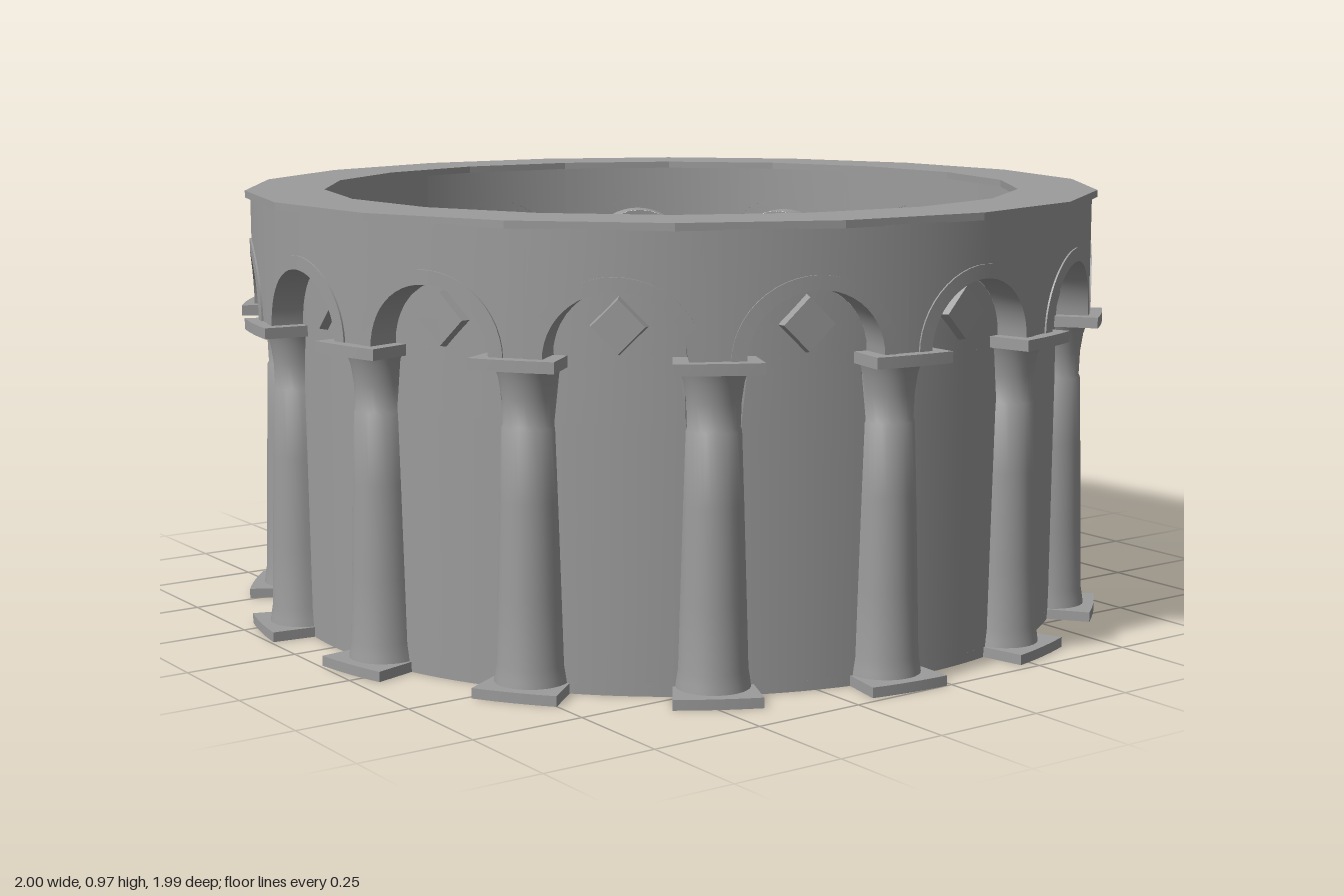
import * as THREE from 'three';
import { toCreasedNormals } from 'three/addons/utils/BufferGeometryUtils.js';

const BAYS = 15, STEP = (Math.PI * 2) / BAYS, R = 0.93;
const HALF = (STEP * R) / 2;           // half a bay, measured along the ring
const SPRING = 0.695, ARCH = 0.14, HOOD = 0.17;
const WINDOW_Y = 0.76, WINDOW = 0.06;
const WALL = 0.903, FRIEZE = 0.97, MOULDING = 0.974, TOP = 0.958;
const PLATE = 0.086;                   // half width of bases and capitals
const material = new THREE.MeshStandardMaterial({ color: 0x9c9c9c, side: THREE.DoubleSide });

// Lofts open profiles of [along, y, radius] points round the ring into a sheet.
function loft(sections, capped) {
  const pos = [];
  const put = ([u, y, r]) => pos.push(r * Math.sin(u / R), y, r * Math.cos(u / R));
  const quad = (a, b, c, d) => [a, b, c, a, c, d].forEach(put);
  for (let i = 0; i < sections.length - 1; i++) {
    const s = sections[i], t = sections[i + 1];
    for (let k = 0; k < s.length - 1; k++) quad(s[k], t[k], t[k + 1], s[k + 1]);
  }
  if (capped) {
    const s = sections[0], t = sections[sections.length - 1];
    quad(s[0], s[1], s[2], s[3]);
    quad(t[3], t[2], t[1], t[0]);
  }
  const g = new THREE.BufferGeometry();
  g.setAttribute('position', new THREE.Float32BufferAttribute(pos, 3));
  return toCreasedNormals(g, 0.6);
}

// Base or capital plate, hollow towards the middle of the ring
function plateGeometry(y0, y1) {
  const s = [];
  for (let i = 0; i <= 6; i++) {
    const u = PLATE * (i / 3 - 1);
    s.push([[u, y0, WALL], [u, y0, 1], [u, y1, 1], [u, y1, WALL]]);
  }
  return loft(s, true);
}

// Arch reveal, its flat moulding and the frieze above, as one sheet
function friezeGeometry() {
  const end = (u) => [
    [u, SPRING, WALL], [u, SPRING, FRIEZE], [u, SPRING, FRIEZE], [u, SPRING, FRIEZE], [u, TOP, FRIEZE],
  ];
  const s = [end(-HALF)];
  for (let i = 0; i <= 24; i++) {
    const a = (i / 24) * Math.PI, c = -Math.cos(a), h = Math.sin(a);
    const low = [ARCH * c, SPRING + ARCH * h], high = [HOOD * c, SPRING + HOOD * h];
    s.push([
      [...low, WALL], [...low, MOULDING], [...high, MOULDING], [...high, FRIEZE], [HOOD * c, TOP, FRIEZE],
    ]);
  }
  s.push(end(HALF));
  return loft(s, false);
}

// Wall panel between two columns, split at the middle of its diamond
function wallGeometry(upper) {
  const edge = 0.138, plateEdge = HALF - PLATE;
  const right = [0.03, 0.06, 0.09, 0.11, 0.124, 0.132, edge];
  const along = [...right.map((u) => -u).reverse(), 0, ...right];
  return loft(along.map((u) => {
    const t = u / edge;
    const gap = Math.max(0, WINDOW - Math.abs(u));
    const arch = SPRING + Math.sqrt(ARCH * ARCH - u * u);
    if (upper) return [[u, Math.min(WINDOW_Y + gap, arch), WALL], [u, arch, WALL]];
    return [
      [t * plateEdge, 0, WALL], [t * plateEdge, 0.022, WALL],
      [t * 0.12, 0.022, WALL], [u, 0.56, WALL], [t * 0.125, 0.674, WALL],
      [t * plateEdge, 0.674, WALL], [t * plateEdge, 0.698, WALL],
      [u, 0.698, WALL], [u, Math.min(WINDOW_Y - gap, arch), WALL],
    ];
  }), false);
}

// Raised diamond, open at the back
function diamondGeometry() {
  const profile = [[WINDOW, 0], [WINDOW - 0.005, 0.024], [0, 0.024]].map(([x, y]) => new THREE.Vector2(x, y));
  const g = new THREE.LatheGeometry(profile, 4).rotateX(Math.PI / 2);
  return toCreasedNormals(g.translate(0, WINDOW_Y, WALL - 0.004), 0.5);
}

// Half-round shaft, hollow at the back
function columnGeometry() {
  const profile = [
    [0.078, 0.02], [0.076, 0.035], [0.072, 0.06], [0.068, 0.2], [0.062, 0.4], [0.057, 0.55],
    [0.054, 0.556], [0.056, 0.61], [0.062, 0.65], [0.071, 0.676],
  ].map(([x, y]) => new THREE.Vector2(x, y));
  const g = new THREE.LatheGeometry(profile, 16, -Math.PI / 2, Math.PI);
  return toCreasedNormals(g.translate(0, 0, WALL - 0.005), 0.6);
}

// Faceted coping ring on top
function copingGeometry() {
  const polygon = (r) => Array.from({ length: 18 }, (_, i) => {
    const a = ((5 + 20 * i) * Math.PI) / 180;
    return new THREE.Vector2(r * Math.sin(a), -r * Math.cos(a));
  });
  const shape = new THREE.Shape(polygon(0.982));
  shape.holes.push(new THREE.Path(polygon(0.803)));
  const g = new THREE.ExtrudeGeometry(shape, { depth: 0.016, bevelEnabled: false });
  return g.rotateX(Math.PI / 2).translate(0, 0.972, 0);
}

export function createModel() {
  const model = new THREE.Group();
  model.name = 'roundArcade';

  const bayParts = {
    archAndFrieze: friezeGeometry(),
    lowerWall: wallGeometry(false),
    upperWall: wallGeometry(true),
    diamond: diamondGeometry(),
  };
  const columnParts = {
    columnShaft: columnGeometry(),
    columnBase: plateGeometry(0, 0.022),
    columnCapital: plateGeometry(0.674, 0.698),
  };
  const addParts = (name, parts, angle) => {
    const group = new THREE.Group();
    group.name = name;
    group.rotation.y = angle;
    for (const [part, geometry] of Object.entries(parts)) {
      const mesh = new THREE.Mesh(geometry, material);
      mesh.name = part;
      group.add(mesh);
    }
    model.add(group);
  };

  // Bays and the columns between them
  for (let i = 0; i < BAYS; i++) {
    addParts('bay', bayParts, i * STEP);
    addParts('column', columnParts, (i + 0.5) * STEP);
  }
  addParts('top', { coping: copingGeometry() }, 0);
  return model;
}
